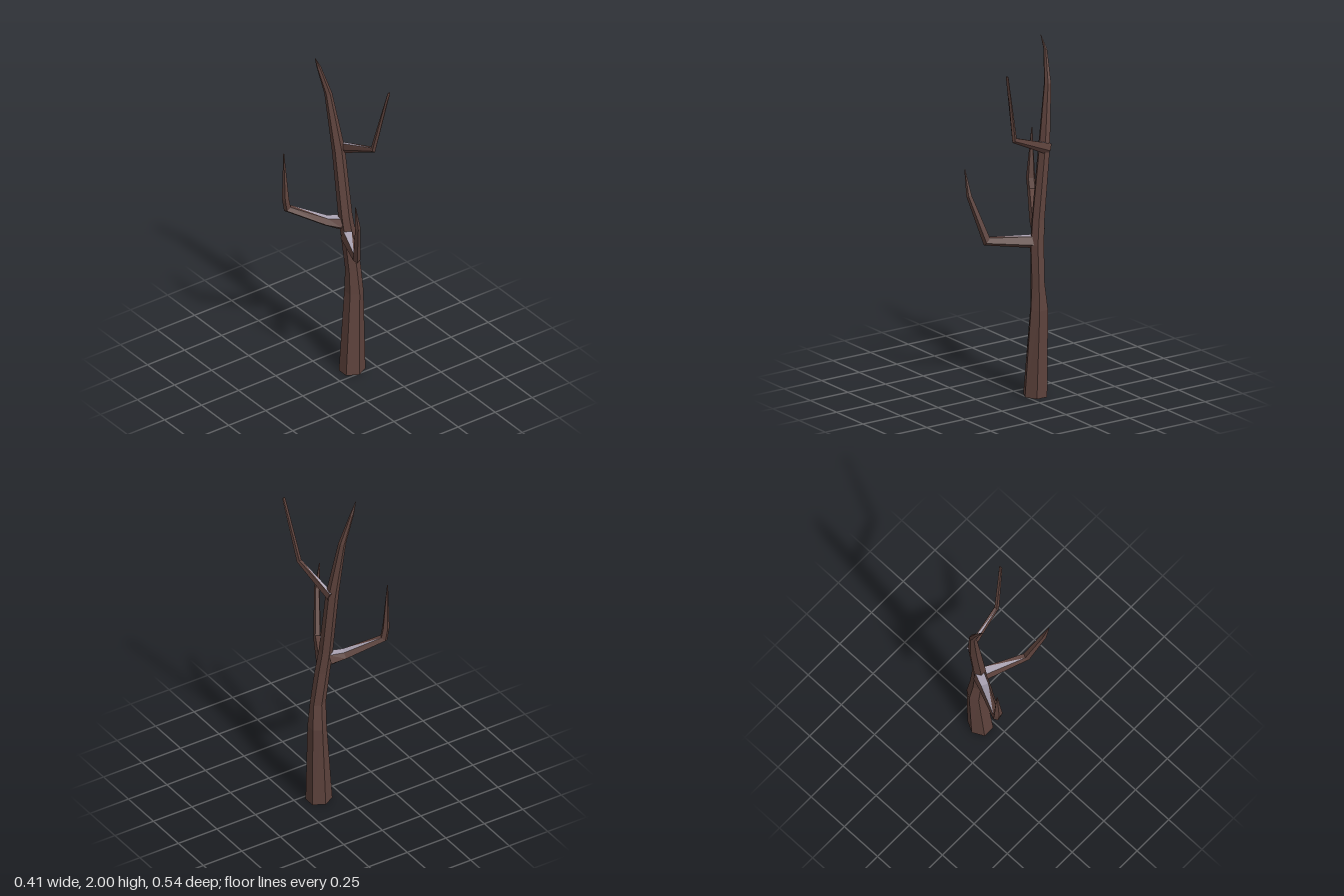
import * as THREE from 'three';

const bark = new THREE.MeshStandardMaterial({ color: 0x5d423c });
bark.name = 'bark';
const paleWood = new THREE.MeshStandardMaterial({ color: 0xada5b5 });
paleWood.name = 'paleWood';

// Faceted limb through sections [x, y, z, sideRadius, upRadius].
// pale lists triangles 'segment:side:half' that get the pale colour.
function limb(name, sections, { sides = 5, offset = 54, upright = false, pale = [] } = {}) {
  const centres = sections.map(([x, y, z]) => new THREE.Vector3(x, y, z));
  const n = centres.length;
  const side = new THREE.Vector3(1, 0, 0);
  if (!upright) {
    const heading = centres[1].clone().sub(centres[0]).setY(0).normalize();
    side.set(heading.z, 0, -heading.x);
  }

  // Rings, mitred at the elbows
  const rings = sections.map(([, , , a, b], i) => {
    const tangent = new THREE.Vector3(0, 1, 0);
    if (!upright) {
      tangent.set(0, 0, 0);
      if (i > 0) tangent.add(centres[i].clone().sub(centres[i - 1]).normalize());
      if (i < n - 1) tangent.add(centres[i + 1].clone().sub(centres[i]).normalize());
      tangent.normalize();
    }
    const up = tangent.clone().cross(side).normalize();
    return Array.from({ length: sides }, (_, j) => {
      const t = THREE.MathUtils.degToRad(offset + (360 * j) / sides);
      return centres[i].clone().addScaledVector(side, a * Math.cos(t)).addScaledVector(up, b * Math.sin(t));
    });
  });

  const barkFaces = [], paleFaces = [];
  for (let i = 0; i < n - 1; i++) {
    for (let j = 0; j < sides; j++) {
      const k = (j + 1) % sides;
      const a = rings[i][j], b = rings[i][k], c = rings[i + 1][k], d = rings[i + 1][j];
      [[a, b, c], [a, c, d]].forEach((tri, half) => {
        (pale.includes(`${i}:${j}:${half}`) ? paleFaces : barkFaces).push(...tri);
      });
    }
  }
  // End caps
  for (let j = 0; j < sides; j++) {
    const k = (j + 1) % sides;
    barkFaces.push(centres[0], rings[0][k], rings[0][j]);
    barkFaces.push(centres[n - 1], rings[n - 1][j], rings[n - 1][k]);
  }

  const geometry = new THREE.BufferGeometry().setFromPoints([...barkFaces, ...paleFaces]);
  geometry.addGroup(0, barkFaces.length, 0);
  if (paleFaces.length) geometry.addGroup(barkFaces.length, paleFaces.length, 1);
  geometry.computeVertexNormals();
  const mesh = new THREE.Mesh(geometry, [bark, paleWood]);
  mesh.name = name;
  return mesh;
}

export function createModel() {
  const tree = new THREE.Group();
  tree.name = 'bareTree';

  // Trunk, bending back and ending in a point
  tree.add(limb('trunk', [
    [0.125, 0, -0.058, 0.075, 0.068],
    [0.145, 0.5, -0.07, 0.052, 0.055],
    [0.137, 0.65, -0.066, 0.046, 0.038],
    [0.115, 0.86, -0.077, 0.043, 0.04],
    [0.103, 1.0, -0.093, 0.04, 0.037],
    [0.092, 1.4, -0.14, 0.038, 0.032],
    [0.058, 1.75, -0.187, 0.022, 0.02],
    [0.008, 1.93, -0.206, 0.013, 0.009],
    [-0.022, 2.0, -0.198, 0.002, 0.002],
  ], { sides: 6, offset: 30, upright: true }));

  // Long lower branch reaching forward
  tree.add(limb('frontBranch', [
    [0.098, 0.875, -0.065, 0.04, 0.04],
    [-0.01, 0.89, 0.168, 0.022, 0.03],
    [-0.062, 1.15, 0.25, 0.016, 0.016],
    [-0.086, 1.295, 0.262, 0.003, 0.003],
  ], { pale: ['0:0:0'] }));

  // Lower branch reaching back
  tree.add(limb('backBranch', [
    [0.085, 0.945, -0.105, 0.04, 0.045],
    [0.01, 0.965, -0.14, 0.035, 0.03],
    [-0.175, 1.062, -0.244, 0.024, 0.024],
    [-0.187, 1.13, -0.246, 0.026, 0.02],
    [-0.191, 1.415, -0.257, 0.003, 0.003],
  ], { pale: ['0:0:0', '0:0:1', '1:0:0'] }));

  // Thin upper branch
  tree.add(limb('upperBranch', [
    [0.116, 1.395, -0.155, 0.018, 0.035],
    [0.152, 1.498, 0.1, 0.013, 0.018],
    [0.198, 1.88, 0.178, 0.011, 0.004],
    [0.199, 1.89, 0.18, 0.008, 0.003],
  ], { pale: ['0:0:0'] }));

  return tree;
}
